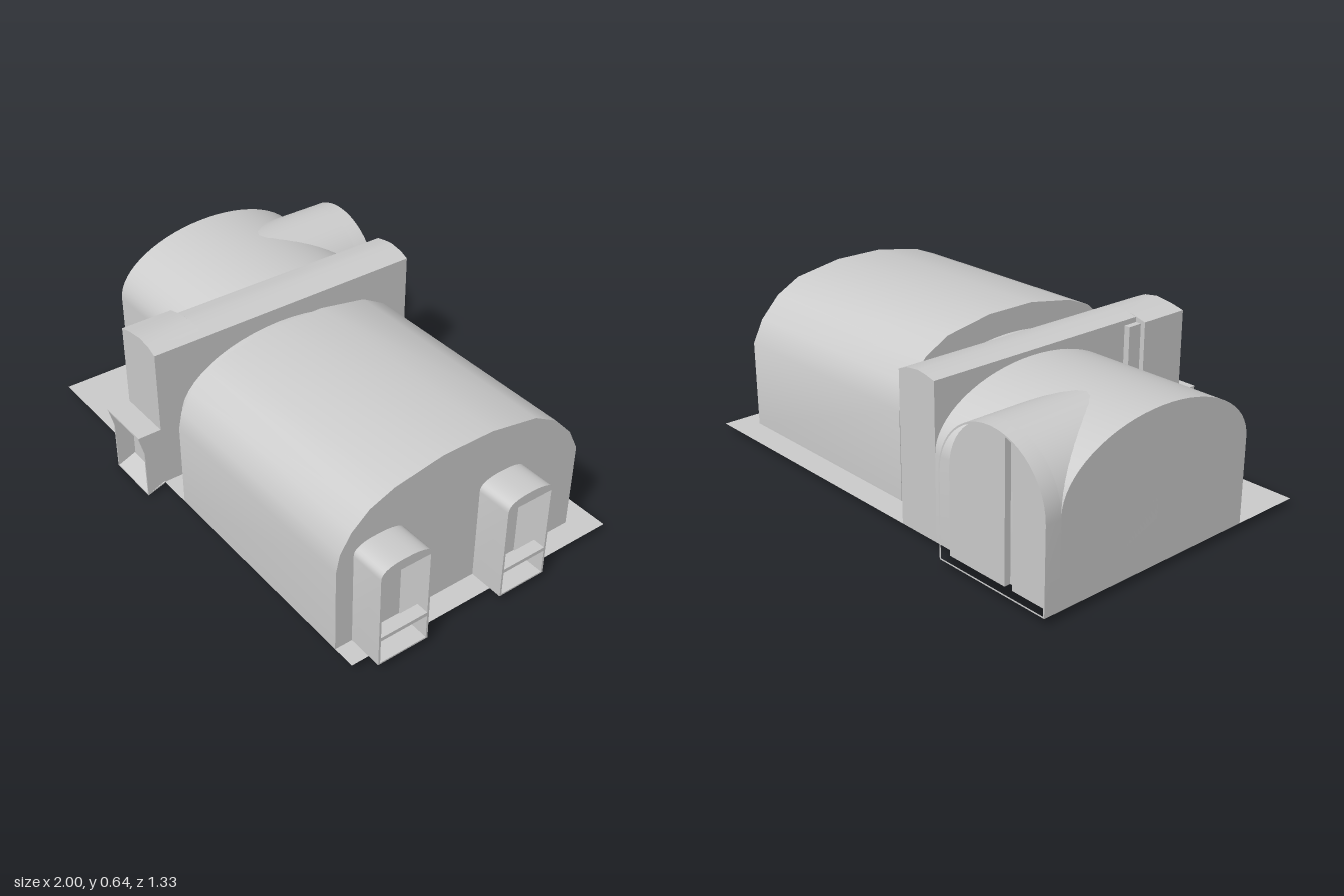
import * as THREE from 'three';
import { toCreasedNormals } from 'three/addons/utils/BufferGeometryUtils.js';

const material = new THREE.MeshStandardMaterial({ color: 0xcccccc });
const sheet = new THREE.MeshStandardMaterial({ color: 0xcccccc, side: THREE.DoubleSide });
const BASE = 0.03;

function outline(points) {
  return new THREE.Shape(points.map(([u, v]) => new THREE.Vector2(u, v)));
}

// Arched outline: straight sides up to the spring line, half ellipse above
function arch(a, b, bottom, spring, top, steps = 24, power = 1) {
  const points = [[a, bottom]];
  for (let i = 0; i <= steps; i++) {
    const t = Math.PI * i / steps;
    const c = Math.cos(t);
    points.push([
      (a + b) / 2 - (b - a) / 2 * Math.sign(c) * Math.abs(c) ** power,
      spring + (top - spring) * Math.sin(t) ** power,
    ]);
  }
  points.push([b, bottom]);
  return points;
}

function extrude(shape, depth) {
  return new THREE.ExtrudeGeometry(shape, { depth, bevelEnabled: false });
}

export function createModel() {
  const model = new THREE.Group();

  function add(name, geometry, mat = material, parent = model) {
    const mesh = new THREE.Mesh(toCreasedNormals(geometry, 0.55), mat);
    mesh.name = name;
    parent.add(mesh);
    return mesh;
  }

  // Extrude a (z, y) outline from x0 to x1, with optional hole
  function alongX(name, points, x0, x1, hole, parent) {
    const flip = (list) => list.map(([z, y]) => [-z, y]);
    const shape = outline(flip(points));
    if (hole) shape.holes.push(outline(flip(hole)));
    const g = extrude(shape, x1 - x0).rotateY(Math.PI / 2).translate(x0, 0, 0);
    return add(name, g, material, parent);
  }

  // Extrude an (x, y) outline from z0 to z1, with optional hole
  function alongZ(name, points, z0, z1, hole) {
    const shape = outline(points);
    if (hole) shape.holes.push(outline(hole));
    return add(name, extrude(shape, z1 - z0).translate(0, 0, z0));
  }

  function box(name, [x0, x1], [y0, y1], [z0, z1], parent) {
    const g = new THREE.BoxGeometry(x1 - x0, y1 - y0, z1 - z0);
    g.translate((x0 + x1) / 2, (y0 + y1) / 2, (z0 + z1) / 2);
    return add(name, g, material, parent);
  }

  // Thin ground sheet
  add('ground', new THREE.PlaneGeometry(1.95, 1.17).rotateX(-Math.PI / 2)
    .translate(-0.025, BASE, -0.015), sheet);

  // Main vaulted hall and the lower link behind it
  const hallProfile = [
    [0.57, BASE], [0.57, 0.37], [0.555, 0.44], [0.51, 0.51], [0.44, 0.57], [0.34, 0.61],
    [0.14, 0.645], [-0.07, 0.645], [-0.27, 0.61], [-0.37, 0.555], [-0.45, 0.47],
    [-0.495, 0.38], [-0.495, BASE],
  ];
  alongX('mainHall', hallProfile, -0.08, 0.86);
  alongX('linkPassage', arch(-0.43, 0.475, BASE, 0.31, 0.55), -0.22, -0.08);

  // Cross wall with a rounded top, widening to a tower at the front
  alongZ('crossWall', [
    [-0.405, BASE], [-0.22, BASE], [-0.22, 0.61], [-0.26, 0.627],
    [-0.32, 0.635], [-0.36, 0.63], [-0.405, 0.62],
  ], -0.6, 0.36);
  alongZ('frontTower', [
    [-0.45, BASE], [-0.22, BASE], [-0.22, 0.61], [-0.26, 0.627],
    [-0.32, 0.635], [-0.39, 0.625], [-0.45, 0.61],
  ], 0.36, 0.57);
  box('towerFin', [-0.43, -0.405], [BASE, 0.6], [0.3, 0.36]);

  // Open chute below the tower: flared side walls, roof and sloping floor
  const cheek = [[0.57, 0.005 + BASE], [0.645, 0.004], [0.645, 0.2], [0.665, 0.278], [0.57, 0.278]];
  for (const x of [-0.45, -0.226]) alongX('chuteSide', cheek, x, x + 0.006);
  alongX('chuteRoof', [[0.57, 0.274], [0.57, 0.28], [0.665, 0.28], [0.665, 0.274]], -0.45, -0.22);
  alongX('chuteFloor', [[0.57, BASE], [0.57, 0.025], [0.645, 0], [0.645, 0.005]], -0.45, -0.22);

  // Small hall with a barrel vault crossing it towards the back
  alongX('smallHall', arch(-0.6, 0.28, BASE, 0.36, 0.6, 32), -1, -0.405);
  alongZ('crossVault', arch(-1, -0.5, BASE, 0.35, 0.595), -0.6, -0.16);

  // Open arch at the back, closed by two panels with a slit between them
  alongZ('backArch', arch(-1, -0.5, BASE, 0.35, 0.595), -0.665, -0.6,
    arch(-0.994, -0.506, BASE + 0.006, 0.35, 0.589));
  const curve = arch(-0.994, -0.506, BASE, 0.35, 0.589).slice(1, -1);
  const height = (x) => 0.35 + 0.239 * Math.sqrt(Math.max(0, 1 - ((x + 0.75) / 0.244) ** 2));
  for (const [side, x] of [[-1, -0.81], [1, -0.775]]) {
    const rim = curve.filter(([u]) => side * (u - x) > 0.002);
    const edge = side < 0
      ? [[-0.994, BASE], ...rim, [x, height(x)], [x, BASE]]
      : [[x, BASE], [x, height(x)], ...rim, [-0.506, BASE]];
    alongZ('backPanel', edge, -0.625, -0.6);
  }

  // Two open, round-topped entrance porches on the end of the main hall
  for (const [z0, z1] of [[0.29, 0.5], [-0.24, -0.035]]) {
    const porch = new THREE.Group();
    porch.name = 'porch';
    model.add(porch);
    alongX('porchShell', arch(z0, z1, BASE, 0.405, 0.45, 16, 0.8), 0.86, 1,
      [[z0 + 0.008, BASE + 0.006], [z1 - 0.008, BASE + 0.006], [z1 - 0.008, 0.41], [z0 + 0.008, 0.41]], porch);
    box('porchSill', [0.95, 1], [0.135, 0.15], [z0 + 0.008, z1 - 0.008], porch);
  }

  return model;
}
